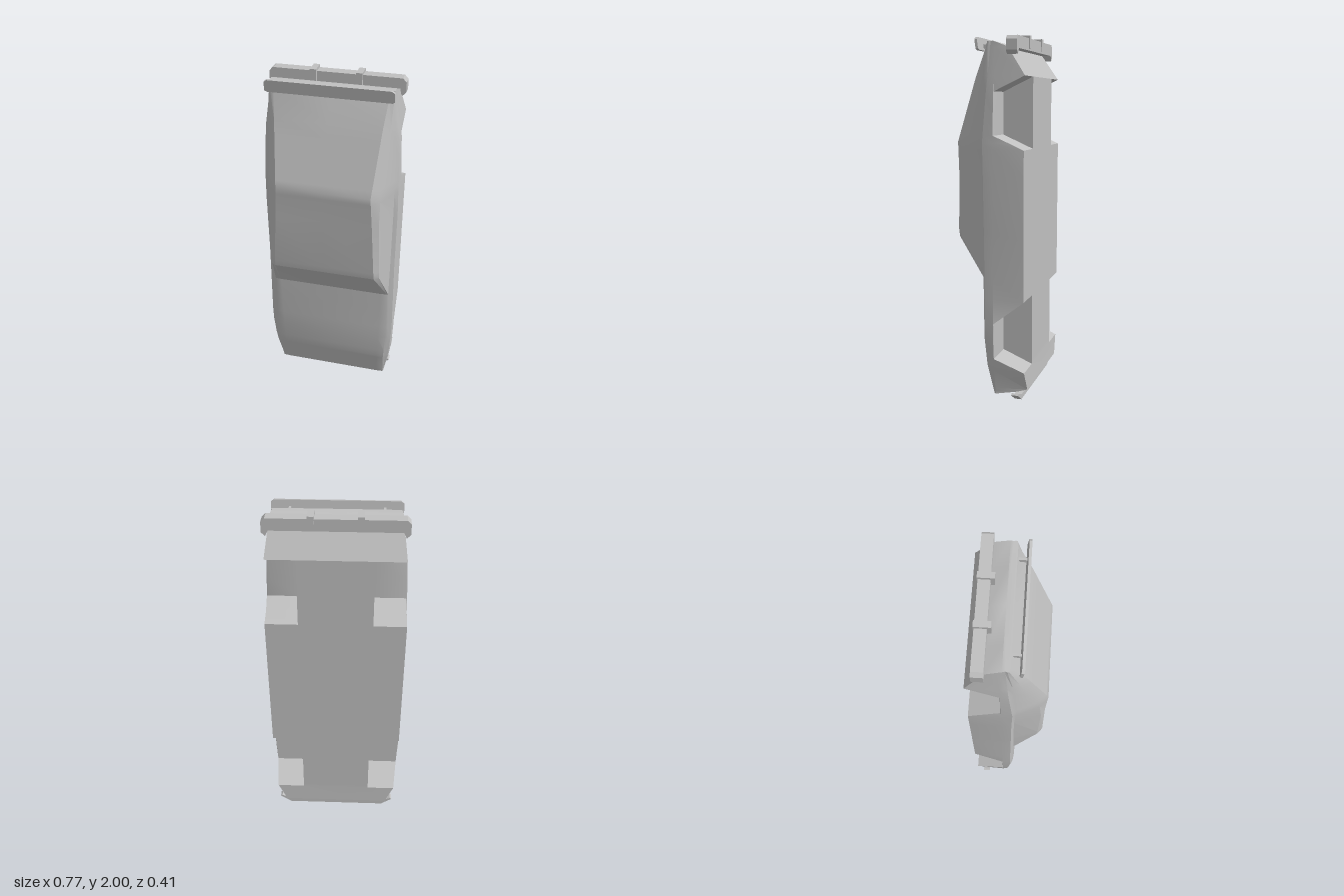
import * as THREE from 'three';
import { toCreasedNormals } from 'three/addons/utils/BufferGeometryUtils.js';

// Piecewise-linear lookup in a list of [y, value] keys
function at(keys, y) {
  if (y <= keys[0][0]) return keys[0][1];
  for (let i = 1; i < keys.length; i++) {
    const [y0, v0] = keys[i - 1], [y1, v1] = keys[i];
    if (y <= y1) return v0 + (v1 - v0) * (y - y0) / (y1 - y0);
  }
  return keys[keys.length - 1][1];
}

// Body curves along the length (nose at the bottom, tail at the top)
const floorZ = [[.035, -.03], [.055, -.15], [.07, -.205], [.18, -.2], [1.78, -.2], [1.93, -.1], [1.96, -.02]];
const archRise = [[.18, 0], [.25, .168], [.45, .168], [.58, 0], [1.395, 0], [1.47, .168], [1.7, .168], [1.78, 0]];
const sideW = [[.035, .335], [.18, .365], [.3, .38], [.45, .385], [.91, .381], [1.25, .384], [1.47, .38], [1.7, .37], [1.96, .335]];
const sillW = [[.035, .335], [.07, .31], [.18, .36], [.25, .376], [.45, .384], [.58, .375], [1.395, .378], [1.78, .36], [1.96, .335]];
const shoulderZ = [[.035, -.025], [.2, 0], [.36, .015], [1.25, .025], [1.43, .03], [1.78, .005], [1.96, -.005]];
const beltW = [[.035, .332], [.36, .362], [.7, .352], [.91, .355], [1.43, .36], [1.78, .345], [1.96, .335]];
const beltZ = [[.035, -.022], [.2, .01], [.36, .025], [.7, .033], [1.25, .038], [1.43, .05], [1.78, .03], [1.96, .005]];
const eaveW = [[.035, .325], [.36, .348], [.7, .345], [.91, .315], [1.25, .305], [1.43, .305], [1.78, .325], [1.96, .333]];
const eaveZ = [[.035, -.02], [.2, .018], [.36, .031], [.7, .036], [.91, .17], [1.25, .18], [1.43, .165], [1.78, .06], [1.96, .013]];
const roofW = [[.035, .29], [.36, .3], [.7, .31], [.91, .29], [1.43, .26], [1.78, .29], [1.96, .31]];
const roofZ = [[.035, -.018], [.2, .022], [.36, .038], [.7, .039], [.91, .192], [.95, .198], [1.25, .2], [1.43, .21], [1.78, .092], [1.96, .018]];
const stations = [.035, .055, .07, .18, .2, .25, .36, .45, .58, .7, .91, .95, 1.25, 1.395, 1.43, 1.47, 1.58, 1.7, 1.78, 1.93, 1.96];

// Closed cross-section at height y, with the wheel arches cut into it
function section(y) {
  const f = at(floorZ, y), arch = f + at(archRise, y), w = at(sideW, y);
  const half = [
    [0, f], [.2, f], [.2, arch], [at(sillW, y), arch],
    [w, Math.max(-.03, arch)], [w - .004, at(shoulderZ, y)],
    [at(beltW, y), at(beltZ, y)], [at(eaveW, y), at(eaveZ, y)],
    [at(roofW, y), at(roofZ, y)], [0, at(roofZ, y)],
  ];
  const mirror = half.slice(1, -1).reverse().map(([x, z]) => [-x, z]);
  return [...half, ...mirror].map(([x, z]) => new THREE.Vector3(x, y, z));
}

function bodyGeometry() {
  const rings = stations.map(section), n = rings[0].length, pos = [];
  const tri = (a, b, c) => {
    const area = b.clone().sub(a).cross(c.clone().sub(a)).length();
    if (area > 1e-8) for (const p of [a, b, c]) pos.push(p.x, p.y, p.z);
  };
  for (let s = 0; s < rings.length - 1; s++) {
    const lo = rings[s], hi = rings[s + 1];
    for (let i = 0; i < n; i++) {
      const j = (i + 1) % n;
      tri(lo[i], hi[i], hi[j]);
      tri(lo[i], hi[j], lo[j]);
    }
  }
  // Nose and tail caps
  const first = rings[0], last = rings[rings.length - 1];
  for (let i = 1; i < n - 1; i++) {
    tri(first[0], first[i], first[i + 1]);
    tri(last[0], last[i + 1], last[i]);
  }
  const g = new THREE.BufferGeometry();
  g.setAttribute('position', new THREE.Float32BufferAttribute(pos, 3));
  return toCreasedNormals(g, 0.42);
}

// Symmetric outline (right half given, from bottom to top) extruded from z0 to z1
function bar(half, z0, z1) {
  const pts = [...half, ...half.slice().reverse().map(([x, y]) => [-x, y])];
  const g = new THREE.ExtrudeGeometry(
    new THREE.Shape(pts.map(([x, y]) => new THREE.Vector2(x, y))),
    { depth: z1 - z0, bevelEnabled: false });
  return g.translate(0, 0, z0);
}

export function createModel() {
  const group = new THREE.Group();
  const paint = new THREE.MeshStandardMaterial({ color: 0xc0c0c0 });
  paint.name = 'grey';
  const add = (name, geometry, x = 0, y = 0, z = 0) => {
    const m = new THREE.Mesh(geometry, paint);
    m.name = name;
    m.position.set(x, y, z);
    group.add(m);
    return m;
  };

  add('body', bodyGeometry());

  // Front bumper blade, held off the nose
  add('frontBumper', bar([[.29, 0], [.355, .045], [.345, .053], [.285, .028]], -.165, -.125));

  // Rear bumper with wrapped ends
  add('rearBumper', bar([[.3, 1.92], [.335, 1.92], [.35, 1.89], [.37, 1.91], [.37, 1.965], [.35, 1.985]], -.16, -.1));

  // Tail spoiler, bent forward at the ends and tilted
  const spoiler = add('spoiler', bar([[.33, -.035], [.342, -.028], [.342, .02], [.325, .032]], -.007, .007), 0, 1.95, .072);
  spoiler.rotation.x = 0.15;

  for (const side of [-1, 1]) {
    add('bumperGuard', new THREE.BoxGeometry(.034, .07, .085), side * .124, 1.965, -.122);
    add('spoilerStrut', new THREE.BoxGeometry(.012, .02, .06), side * .244, 1.94, .04);
    add('bumperBracket', new THREE.BoxGeometry(.015, .06, .015), side * .2, .045, -.145);
  }
  return group;
}
